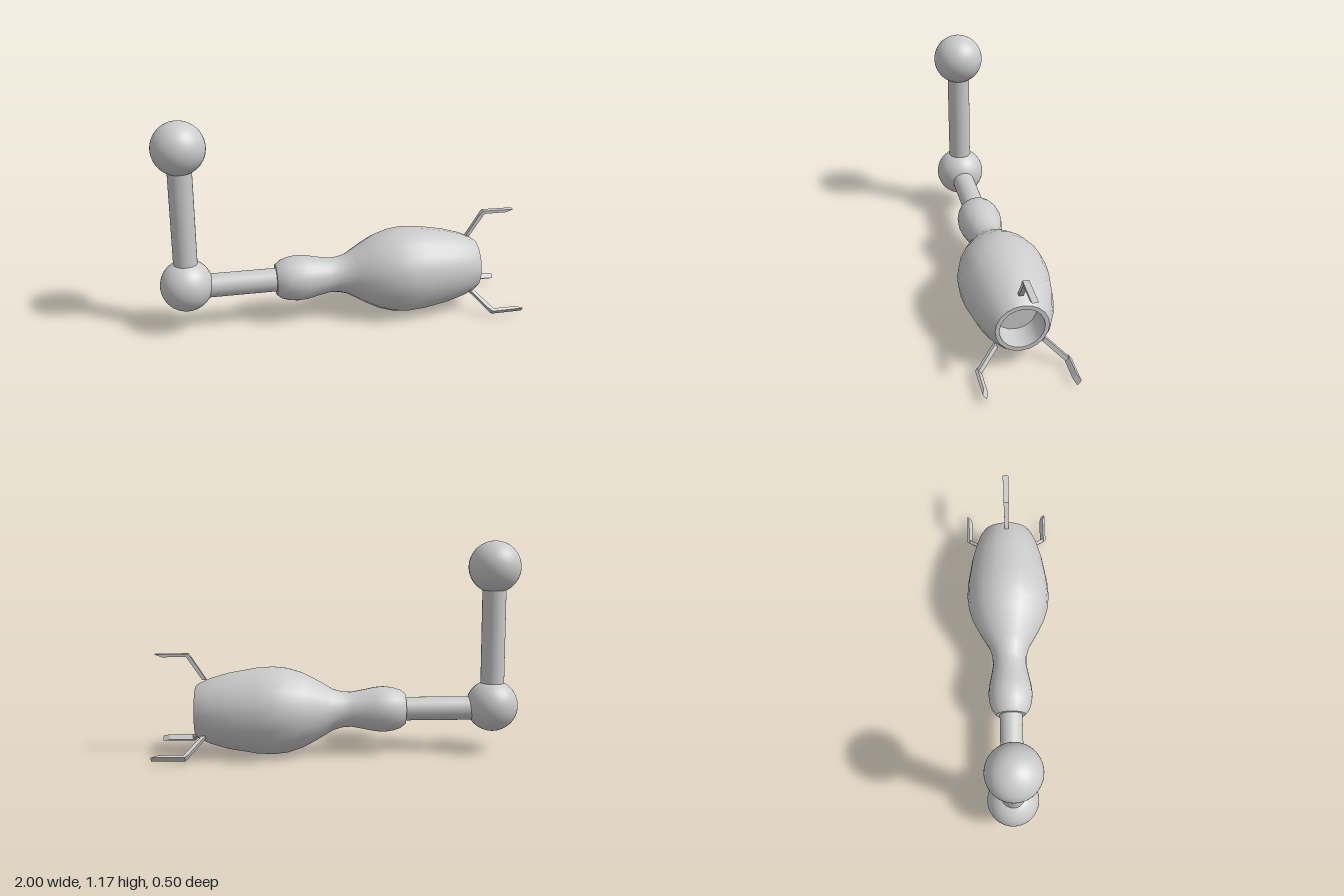
import * as THREE from 'three';

const AXIS_Y = 0.247;
const material = new THREE.MeshStandardMaterial({ color: 0xcccccc });

function add(parent, name, geometry, x = 0, y = 0, z = 0) {
  const mesh = new THREE.Mesh(geometry, material);
  mesh.name = name;
  mesh.position.set(x, y, z);
  parent.add(mesh);
  return mesh;
}

// Revolved surface lying along x; points are [x, radius]
function latheX(points, segments) {
  const profile = points.map(([x, r]) => new THREE.Vector2(r, x));
  return new THREE.LatheGeometry(profile, segments).rotateZ(-Math.PI / 2);
}

// Flat bar: [x, radius] outline extruded to a width centred on z = 0
function bar(points, width) {
  const shape = new THREE.Shape(points.map(([x, y]) => new THREE.Vector2(x, y)));
  return new THREE.ExtrudeGeometry(shape, { depth: width, bevelEnabled: false }).translate(0, 0, -width / 2);
}

export function createModel() {
  const model = new THREE.Group();
  model.name = 'clawArm';

  // Ball joints and the two arm segments
  const ball = new THREE.SphereGeometry(0.143, 40, 28);
  add(model, 'shoulderBall', ball, -0.857, 1.032);
  add(model, 'elbowBall', ball, -0.857, 0.262);
  add(model, 'upperArm', new THREE.CylinderGeometry(0.065, 0.065, 0.77, 32), -0.857, 0.647);
  add(model, 'lowerArm', new THREE.CylinderGeometry(0.065, 0.065, 0.53, 32).rotateZ(Math.PI / 2), -0.592, AXIS_Y);

  // Bulbous forearm body with a hollow muzzle
  const body = new THREE.Group();
  body.name = 'forearm';
  body.position.y = AXIS_Y;
  model.add(body);
  add(body, 'forearmShell', latheX([
    [-0.37, 0.085], [-0.34, 0.108], [-0.3, 0.121], [-0.25, 0.127], [-0.2, 0.123], [-0.14, 0.11],
    [-0.07, 0.097], [-0.02, 0.1], [0.03, 0.114], [0.07, 0.138], [0.13, 0.173], [0.2, 0.209],
    [0.28, 0.234], [0.36, 0.243], [0.45, 0.237], [0.6, 0.211], [0.7, 0.182], [0.76, 0.155], [0.783, 0.139],
  ], 20));
  add(body, 'rearCap', latheX([[-0.37, 0], [-0.37, 0.085]], 20));
  add(body, 'muzzleRim', latheX([[0.783, 0.139], [0.783, 0.117]], 20));
  add(body, 'muzzleBore', latheX([[0.783, 0.117], [0.64, 0.113]], 20));
  add(body, 'boreFloor', latheX([[0.64, 0.113], [0.64, 0]], 20));

  // Three bent claws spaced around the muzzle
  const leg = bar([[0.722, 0.172], [0.744, 0.172], [0.83, 0.3], [0.82, 0.315], [0.806, 0.302]], 0.025);
  const foot = bar([[0.806, 0.301], [0.96, 0.301], [1.0, 0.316], [0.82, 0.318]], 0.033);
  for (const side of [0, 1, -1]) {
    const claw = new THREE.Group();
    claw.name = ['lowerRightClaw', 'topClaw', 'lowerLeftClaw'][side + 1];
    claw.position.set(0, AXIS_Y - 0.015 * Math.abs(side), -0.012 * side);
    claw.rotation.x = side * THREE.MathUtils.degToRad(128);
    add(claw, 'clawLeg', leg);
    add(claw, 'clawFoot', foot);
    model.add(claw);
  }
  return model;
}
